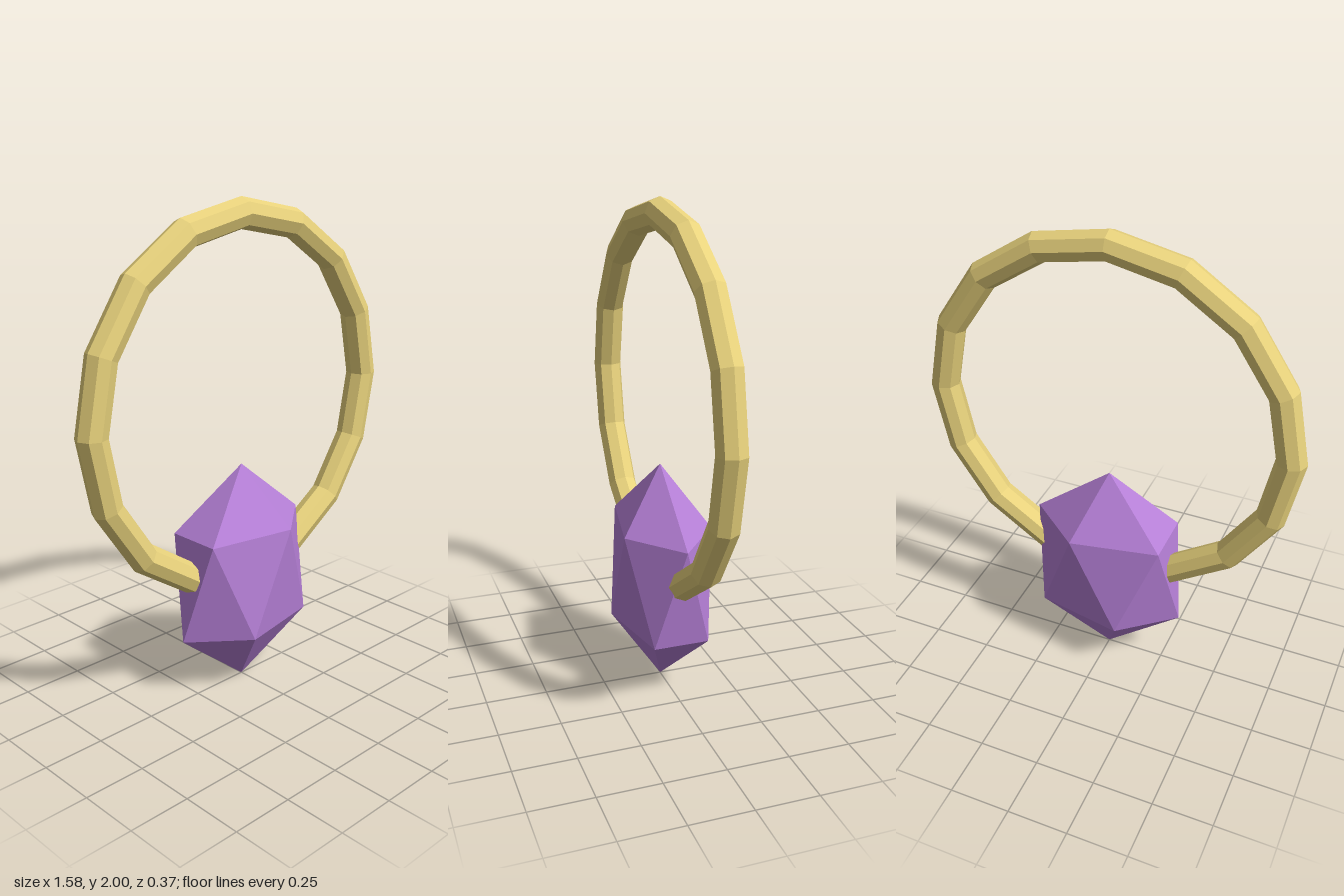
import * as THREE from 'three';
import { ConvexGeometry } from 'three/addons/geometries/ConvexGeometry.js';

const flat = (color) => new THREE.MeshStandardMaterial({ color, flatShading: true });

// Five corners of a pentagon lying flat at height y; sign flips it along x
function pentagon(y, sign, rx, rz) {
  return Array.from({ length: 5 }, (_, i) => {
    const a = (i / 5) * Math.PI * 2;
    return new THREE.Vector3(sign * rx * Math.cos(a), y, rz * Math.sin(a));
  });
}

export function createModel() {
  const group = new THREE.Group();

  // Low-poly ring band, upright and facing the front
  const band = new THREE.Mesh(new THREE.TorusGeometry(0.73, 0.061, 8, 16), flat(0xe8d27c));
  band.name = 'ringBand';
  band.position.y = 1.209;
  group.add(band);

  // Faceted gem: a stretched twenty-sided solid with its tips up and down
  const half = 0.473;
  const belt = half / Math.sqrt(5);
  const gem = new THREE.Mesh(
    new ConvexGeometry([
      new THREE.Vector3(0, half, 0),
      ...pentagon(belt, 1, 0.325, 0.194),
      ...pentagon(-belt, -1, 0.325, 0.194),
      new THREE.Vector3(0, -half, 0),
    ]),
    flat(0xb57fd6)
  );
  gem.name = 'gem';
  gem.position.y = 0.476;
  group.add(gem);

  return group;
}
